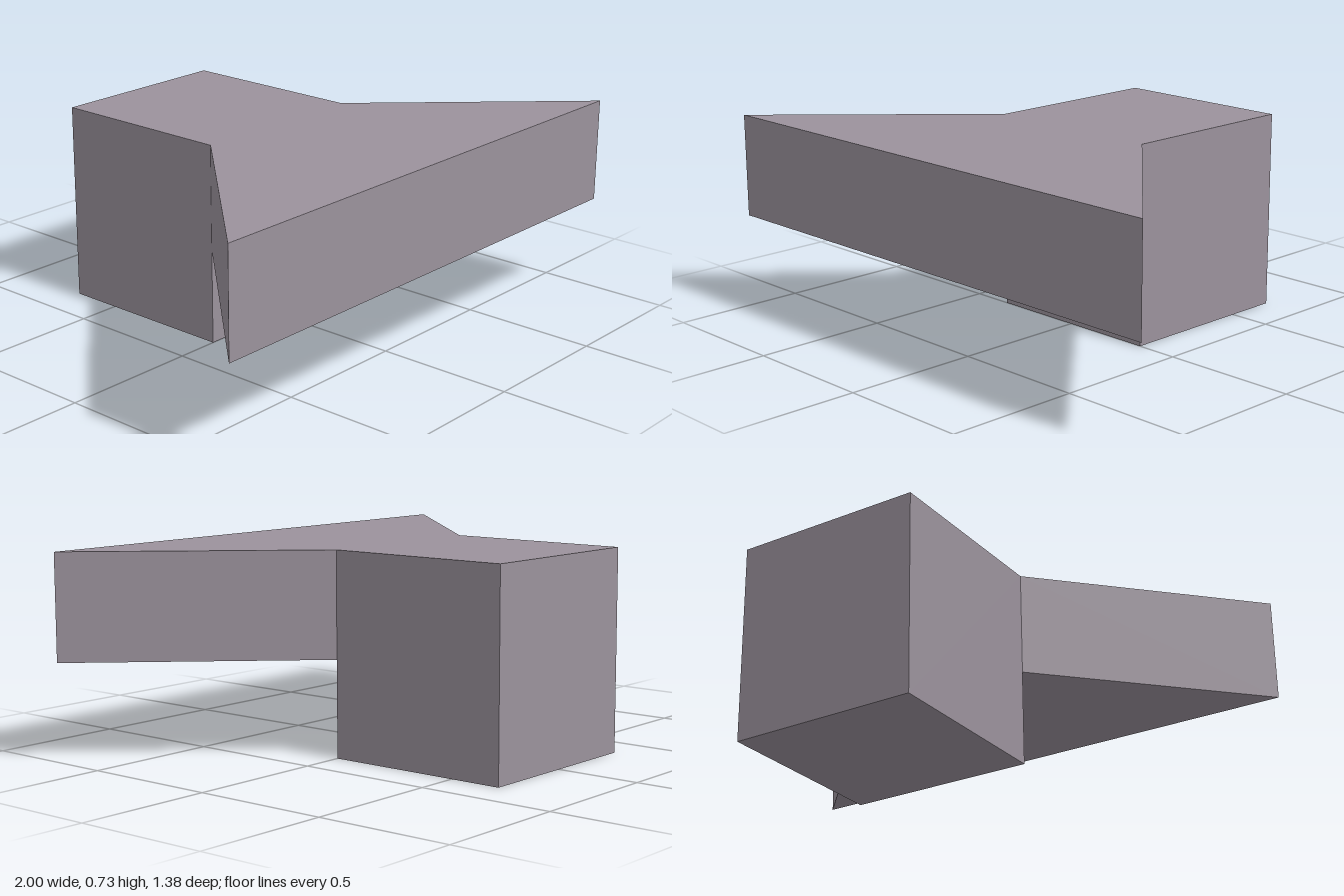
import * as THREE from 'three';

const TOP = 0.727, LEDGE = 0.347, HALF = 0.345, DEPTH = 0.692;

export function createModel() {
  const model = new THREE.Group();
  const mauveGrey = new THREE.MeshStandardMaterial({ color: 0x9b929c });

  // Upright rear block
  const block = new THREE.Mesh(new THREE.BoxGeometry(HALF * 2, TOP, DEPTH), mauveGrey);
  block.name = 'rearBlock';
  block.position.set(0, TOP / 2, -DEPTH / 2);
  model.add(block);

  // Raised front flare: a trapezoid widening towards the front
  const plan = new THREE.Shape([
    new THREE.Vector2(-HALF, 0),
    new THREE.Vector2(-1, -DEPTH),
    new THREE.Vector2(1, -DEPTH),
    new THREE.Vector2(HALF, 0),
  ]);
  const flareGeometry = new THREE.ExtrudeGeometry(plan, { depth: TOP - LEDGE, bevelEnabled: false });
  flareGeometry.rotateX(-Math.PI / 2);
  const flare = new THREE.Mesh(flareGeometry, mauveGrey);
  flare.name = 'frontFlare';
  flare.position.y = LEDGE;
  model.add(flare);

  return model;
}
